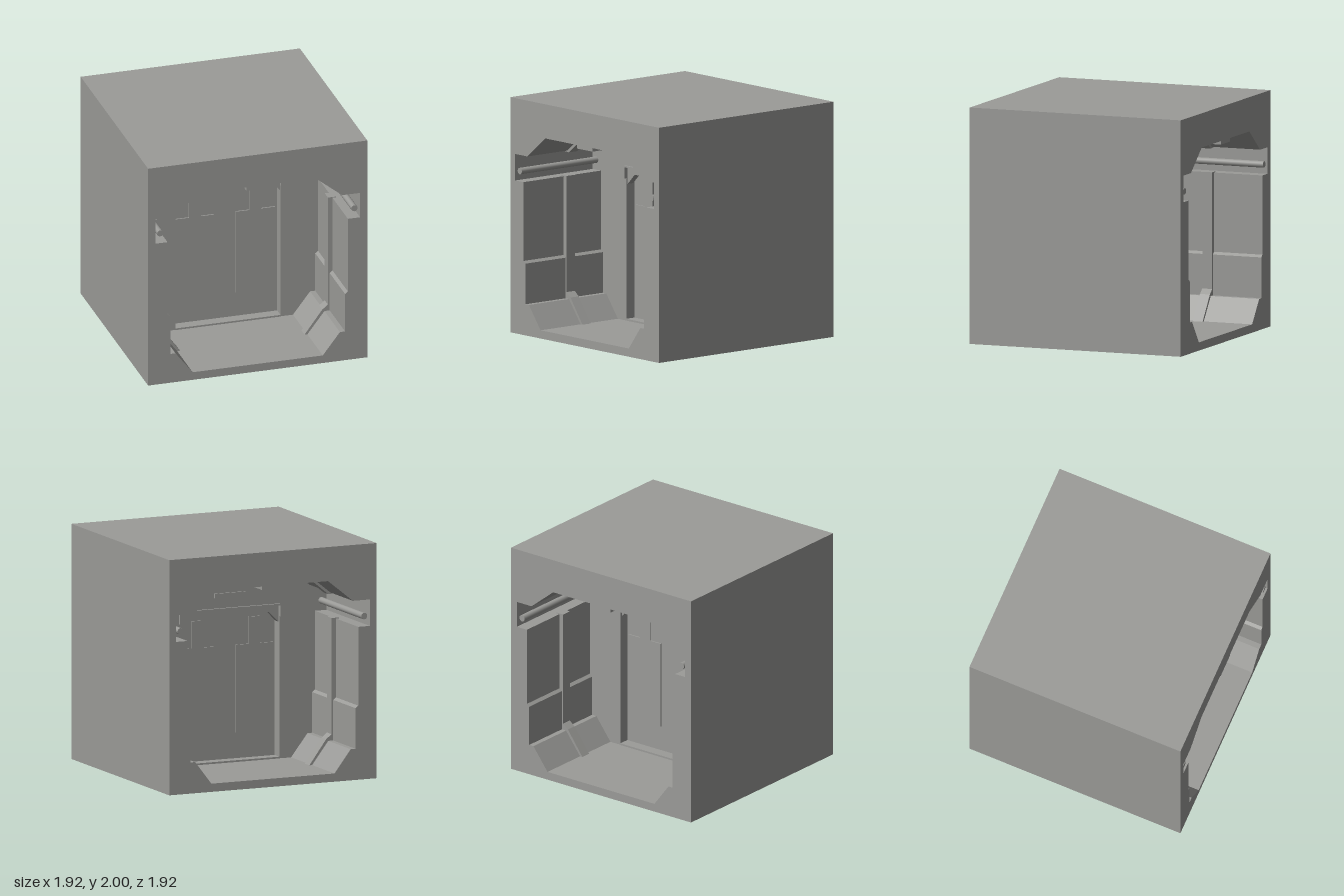
import * as THREE from 'three';

export function createModel() {
  const model = new THREE.Group();
  model.name = 'corridorBlock';
  const grey = new THREE.MeshStandardMaterial({ color: 0x9b9b98 });
  grey.name = 'plain grey';

  const add = (geometry, name, x = 0, y = 0, z = 0, parent = model) => {
    const mesh = new THREE.Mesh(geometry, grey);
    mesh.name = name;
    mesh.position.set(x, y, z);
    parent.add(mesh);
    return mesh;
  };
  const box = (name, x0, x1, y0, y1, z0, z1, parent) =>
    add(new THREE.BoxGeometry(x1 - x0, y1 - y0, z1 - z0), name,
      (x0 + x1) / 2, (y0 + y1) / 2, (z0 + z1) / 2, parent);
  const toShape = (points) => new THREE.Shape(points.map(([x, y]) => new THREE.Vector2(x, y)));
  const rect = (x, y0, y1) => [[-x, y0], [x, y0], [x, y1], [-x, y1]];
  const mirrored = (half) => [...half, ...half.map(([x, y]) => [-x, y]).reverse()];
  // Extrudes an outline along z, centred on the given z
  const slab = (name, points, depth, z = 0, holes = [], parent = model) => {
    const shape = toShape(points);
    holes.forEach((h) => shape.holes.push(toShape(h)));
    const geometry = new THREE.ExtrudeGeometry(shape, { depth, bevelEnabled: false });
    geometry.translate(0, 0, -depth / 2);
    return add(geometry, name, 0, 0, z, parent);
  };

  // Outer block with the tunnel cut right through it
  const side = [[0.57, 0.07], [0.72, 0.265], [0.765, 0.265], [0.765, 0.61], [0.79, 0.63],
    [0.79, 1.3], [0.897, 1.3], [0.897, 1.525], [0.74, 1.525]];
  slab('hull', rect(0.96, 0, 2), 1.92, 0, [mirrored([...side, [0.51, 1.71]])]);

  // Cross wall with a doorway, stopping just short of the ceiling
  slab('crossWall', mirrored([...side, [0.517, 1.704]]), 0.22, 0, [rect(0.46, 0.08, 1.38)]);
  box('door', -0.46, 0.46, 0.08, 1.38, -0.02, 0.02);

  // Strip along the middle of the ceiling
  box('ceilingStrip', -0.1, 0.1, 1.68, 1.71, -0.96, 0.96);

  // Pipes in the side channels
  for (const s of [-1, 1]) {
    const pipe = add(new THREE.CylinderGeometry(0.028, 0.028, 1.9, 12), 'pipe', s * 0.85, 1.385, 0);
    pipe.rotation.x = Math.PI / 2;
  }

  // Ribs on the walls and on the upper slopes
  const wallRib = [[0.545, 0.07], [0.57, 0.07], [0.72, 0.265], [0.765, 0.265], [0.765, 0.61],
    [0.79, 0.63], [0.79, 1.3], [0.82, 1.3], [0.82, 1.307], [0.75, 1.307], [0.75, 0.32], [0.7, 0.28]];
  const roofRib = [[0.72, 1.512], [0.82, 1.517], [0.82, 1.525], [0.74, 1.525], [0.51, 1.71], [0.48, 1.71]];
  for (const z of [-0.475, 0.475]) {
    for (const s of [-1, 1]) {
      slab('wallRib', wallRib.map(([x, y]) => [s * x, y]), 0.09, z);
      slab('roofRib', roofRib.map(([x, y]) => [s * x, y]), 0.09, z);
    }
  }

  // Door details, the same on both faces of the cross wall
  for (const turn of [0, Math.PI]) {
    const face = new THREE.Group();
    face.name = 'doorFace';
    face.rotation.y = turn;
    model.add(face);
    // Lintel with chamfered corners, set inside the doorway
    slab('lintel', [[-0.46, 1.38], [-0.46, 1.23], [-0.37, 1.32], [0.37, 1.32], [0.46, 1.23], [0.46, 1.38]],
      0.06, 0.065, [], face);
    // Thin hood around the top of the doorway
    slab('hood', [[-0.47, 1.28], [-0.46, 1.28], [-0.46, 1.375], [0.46, 1.375], [0.46, 1.28],
      [0.47, 1.28], [0.47, 1.388], [-0.47, 1.388]], 0.03, 0.115, [], face);
    box('signPlate', -0.143, 0.143, 1.478, 1.516, 0.1, 0.125, face);
    box('sill', -0.46, 0.46, 0.07, 0.085, 0.01, 0.115, face);
    for (const s of [-1, 1]) {
      const panel = (name, x0, x1, y0, y1) =>
        box(name, Math.min(s * x0, s * x1), Math.max(s * x0, s * x1), y0, y1, 0.01, 0.032, face);
      panel('doorPanel', 0.095, 0.438, 0.303, 1.05);
      panel('doorWindow', 0.212, 0.316, 1.043, 1.28);
    }
  }
  return model;
}
